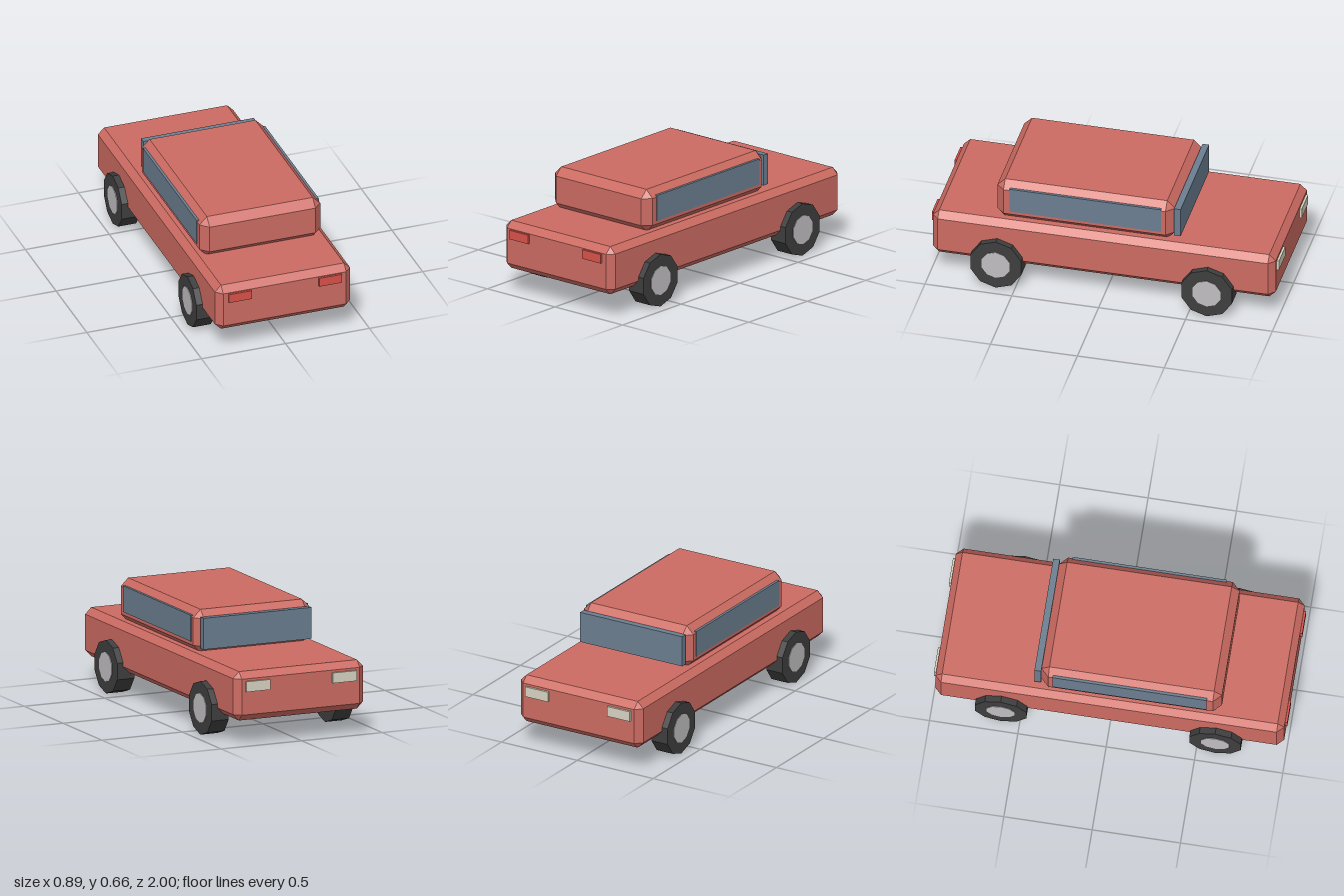
import * as THREE from 'three';
import { ConvexGeometry } from 'three/addons/geometries/ConvexGeometry.js';

const material = (name, color) => {
  const m = new THREE.MeshStandardMaterial({ color });
  m.name = name;
  m.flatShading = true;
  return m;
};

// Box given by its limits, with every edge cut off by a single flat bevel
function bevelBox([x0, x1], [y0, y1], [z0, z1], c) {
  const h = [(x1 - x0) / 2, (y1 - y0) / 2, (z1 - z0) / 2];
  const points = [];
  for (const sx of [-1, 1]) for (const sy of [-1, 1]) for (const sz of [-1, 1])
    for (let axis = 0; axis < 3; axis++) {
      const d = h.map((v, i) => (i === axis ? v : v - c));
      points.push(new THREE.Vector3(sx * d[0], sy * d[1], sz * d[2]));
    }
  return new ConvexGeometry(points).translate((x0 + x1) / 2, (y0 + y1) / 2, (z0 + z1) / 2);
}

// Plain box given by its limits
function box([x0, x1], [y0, y1], [z0, z1]) {
  return new THREE.BoxGeometry(x1 - x0, y1 - y0, z1 - z0)
    .translate((x0 + x1) / 2, (y0 + y1) / 2, (z0 + z1) / 2);
}

// Ten-sided drum lying along x
const drum = (radius, width) => new THREE.CylinderGeometry(radius, radius, width, 10).rotateZ(Math.PI / 2).rotateX(Math.PI / 2);

export function createModel() {
  const paint = material('red paint', 0xcc6b62);
  const glass = material('blue glass', 0x6b7e90);
  const rubber = material('black rubber', 0x3e3e3e);
  const metal = material('hub metal', 0xbfbdbf);
  const headlight = material('headlight cream', 0xd8d4c2);
  const taillight = material('taillight red', 0xd8524a);

  const car = new THREE.Group();
  car.name = 'car';
  const add = (name, geometry, mat, parent = car) => {
    const mesh = new THREE.Mesh(geometry, mat);
    mesh.name = name;
    parent.add(mesh);
    return mesh;
  };

  // Body and cabin
  add('body', bevelBox([-0.403, 0.403], [0.133, 0.413], [-0.987, 0.987], 0.037), paint);
  add('cabin', bevelBox([-0.36, 0.36], [0.4, 0.648], [-0.395, 0.627], 0.045), paint);

  // Windscreen stands just ahead of the cabin
  add('windscreen', box([-0.336, 0.336], [0.435, 0.614], [-0.432, -0.394]), glass);

  for (const s of [-1, 1]) {
    const side = s > 0 ? 'left' : 'right';
    const span = (a, b) => (s > 0 ? [a, b] : [-b, -a]);
    add(side + 'Window', box(span(0.343, 0.364), [0.464, 0.614], [-0.325, 0.547]), glass);
    add(side + 'Headlight', box(span(0.195, 0.344), [0.303, 0.362], [-1, -0.98]), headlight);
    add(side + 'Taillight', box(span(0.201, 0.336), [0.319, 0.372], [0.98, 1]), taillight);

    // Wheels, with the hub passing just through the tyre
    for (const z of [-0.607, 0.607]) {
      const wheel = new THREE.Group();
      wheel.name = side + (z < 0 ? 'FrontWheel' : 'RearWheel');
      wheel.position.set(s * 0.387, 0.1455, z);
      add('tyre', drum(0.153, 0.106), rubber, wheel);
      add('hub', drum(0.085, 0.113), metal, wheel);
      car.add(wheel);
    }
  }
  return car;
}
